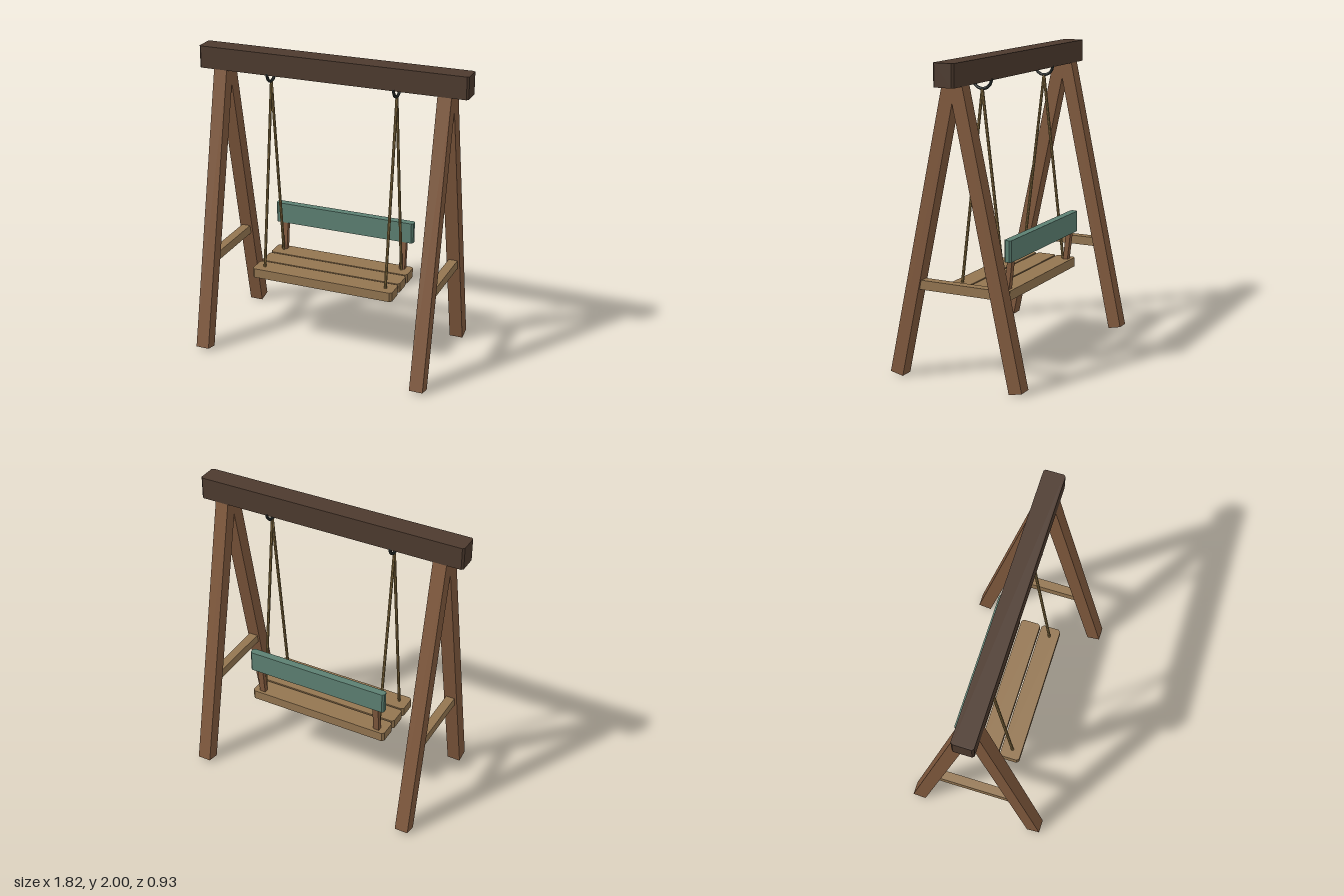
import * as THREE from 'three';

const mat = (color) => new THREE.MeshStandardMaterial({ color, flatShading: true });

// Plank with its four upright edges chamfered
function plank(name, w, h, d, c, y, z, material) {
  const x = w / 2, k = d / 2;
  const outline = [
    [-x + c, -k], [x - c, -k], [x, -k + c], [x, k - c],
    [x - c, k], [-x + c, k], [-x, k - c], [-x, -k + c],
  ].map(([px, py]) => new THREE.Vector2(px, py));
  const geo = new THREE.ExtrudeGeometry(new THREE.Shape(outline), { depth: h, bevelEnabled: false });
  geo.rotateX(-Math.PI / 2);
  const mesh = new THREE.Mesh(geo, material);
  mesh.name = name;
  mesh.position.set(0, y, z);
  return mesh;
}

// Straight part leaning in the side plane from (y0, z0) to (y1, z1)
function strut(name, x, [y0, z0], [y1, z1], makeGeometry, material) {
  const mesh = new THREE.Mesh(makeGeometry(Math.hypot(y1 - y0, z1 - z0)), material);
  mesh.name = name;
  mesh.position.set(x, (y0 + y1) / 2, (z0 + z1) / 2);
  mesh.rotation.x = Math.atan2(z1 - z0, y1 - y0);
  return mesh;
}

export function createModel() {
  const model = new THREE.Group();
  model.name = 'gardenSwing';
  const darkWood = mat(0x4d3a2e), legWood = mat(0x80593d), seatWood = mat(0x937550);
  const paint = mat(0x5c8072), ropeFibre = mat(0x8f7545), iron = mat(0x333a38);

  // Top beam
  model.add(plank('topBeam', 1.82, 0.145, 0.14, 0.012, 1.855, 0, darkWood));

  // A-frames, one at each end
  for (const side of [1, -1]) {
    const frame = new THREE.Group();
    frame.name = side > 0 ? 'leftFrame' : 'rightFrame';
    for (const s of [1, -1]) {
      frame.add(strut(s > 0 ? 'frontLeg' : 'backLeg', side * 0.76, [0.0095, s * 0.421], [1.9, s * 0.014],
        (len) => new THREE.BoxGeometry(0.09, len, 0.09), legWood));
    }
    const brace = new THREE.Mesh(new THREE.BoxGeometry(0.06, 0.06, 0.56), seatWood);
    brace.name = 'crossBrace';
    brace.position.set(side * 0.76, 0.608, 0);
    frame.add(brace);
    model.add(frame);
  }

  // Hanging bench
  const bench = new THREE.Group();
  bench.name = 'bench';
  for (const z of [-0.147, 0, 0.147]) {
    bench.add(plank('seatSlat', 0.99, 0.063, 0.136, 0.015, 0.485, z, seatWood));
  }
  bench.add(plank('backRest', 0.99, 0.14, 0.05, 0.012, 0.735, -0.205, paint));

  for (const side of [1, -1]) {
    const x = side * 0.43;
    bench.add(strut('backPost', x, [0.5, -0.172], [0.84, -0.21],
      (len) => new THREE.BoxGeometry(0.04, len, 0.033), legWood));
    for (const s of [1, -1]) {
      bench.add(strut(s > 0 ? 'frontRope' : 'backRope', x, [0.53, s * 0.154], [1.8, 0],
        (len) => new THREE.CylinderGeometry(0.01, 0.01, len, 8), ropeFibre));
    }
    // Half ring under the beam
    const hook = new THREE.Mesh(new THREE.TorusGeometry(0.065, 0.01, 8, 16, Math.PI), iron);
    hook.name = 'hook';
    hook.rotation.set(Math.PI, Math.PI / 2, 0, 'YXZ');
    hook.position.set(x, 1.865, 0);
    bench.add(hook);
  }
  model.add(bench);
  return model;
}
